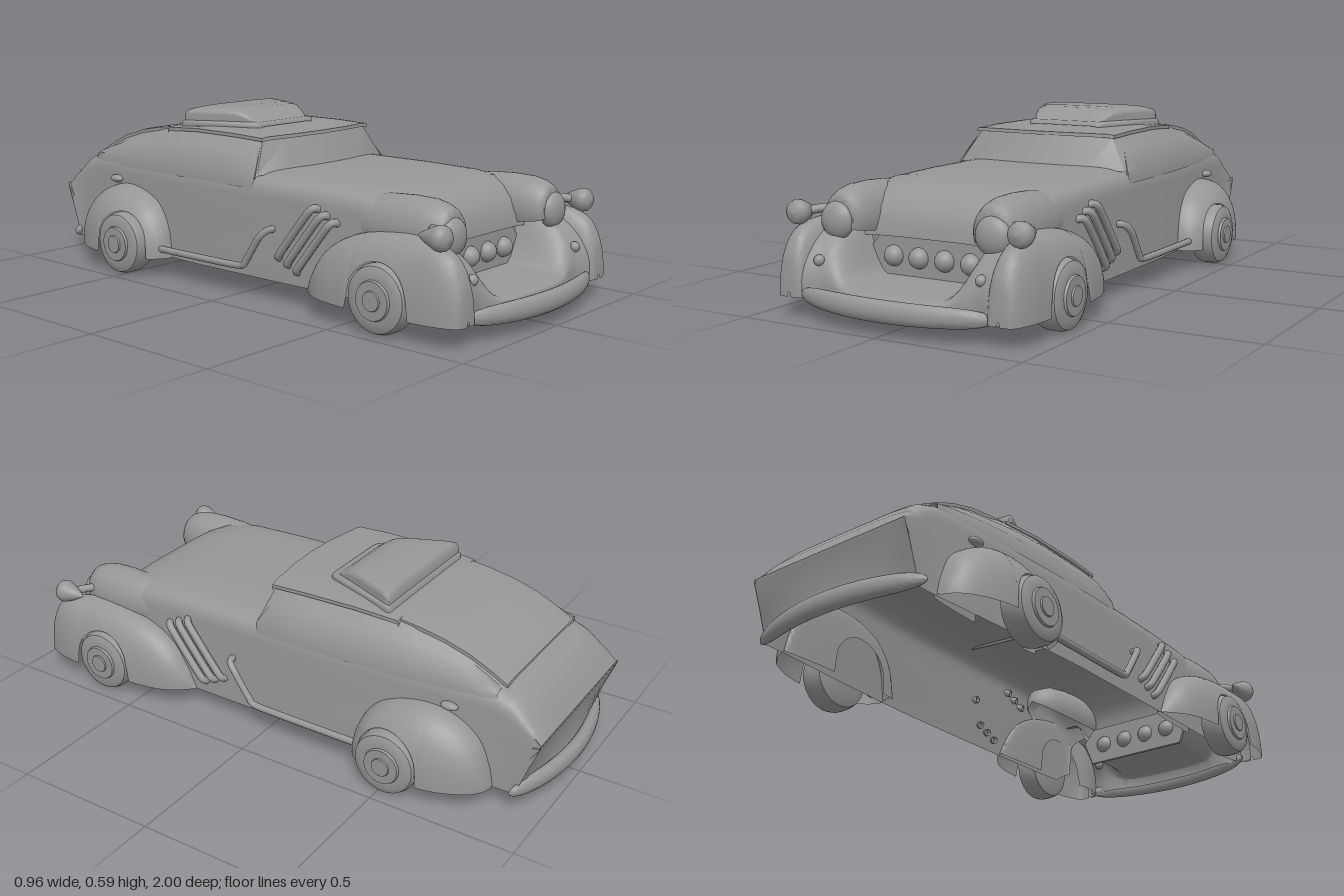
import * as THREE from 'three';
import { toCreasedNormals } from 'three/addons/utils/BufferGeometryUtils.js';

const mat = new THREE.MeshStandardMaterial({ color: 0x969696, side: THREE.DoubleSide });
const FLOOR = 0.065;
const V = (x, y, z) => new THREE.Vector3(x, y, z);
const smooth = THREE.MathUtils.smoothstep;

function mesh(name, geo) {
  const m = new THREE.Mesh(geo, mat);
  m.name = name;
  return m;
}

// Skin between rings of [x, y, z] points; rings run front to back, points from +x over the top to -x
function loft(rings, crease = 0.6) {
  const pos = [], idx = [], n = rings[0].length;
  rings.forEach((r) => r.forEach((p) => pos.push(...p)));
  for (let i = 0; i < rings.length - 1; i++)
    for (let j = 0; j < n - 1; j++) {
      const a = i * n + j, b = a + n;
      idx.push(a, b, a + 1, b, b + 1, a + 1);
    }
  const g = new THREE.BufferGeometry();
  g.setAttribute('position', new THREE.Float32BufferAttribute(pos, 3));
  g.setIndex(idx);
  return toCreasedNormals(g, crease);
}

// Complete a half profile (outside to centre) by mirroring it
const mirrored = (half) => [...half, ...half.slice(0, -1).reverse().map(([x, y, z]) => [-x, y, z])];

// Rounded box section: straight wall, then a superellipse crown
function crownSection(z, w, yb, yt, n, flare = 0) {
  const ym = yb + (yt - yb) * 0.55, half = [[w + flare, yb, z], [w + flare * 0.7, (yb + ym) / 2, z]];
  for (let i = 0; i <= 14; i++) {
    const a = (i / 14) * Math.PI / 2;
    half.push([w * Math.max(0, Math.cos(a)) ** (2 / n), ym + (yt - ym) * Math.sin(a) ** (2 / n), z]);
  }
  half[half.length - 1][0] = 0;
  return mirrored(half);
}

// Solid of revolution along z from [radius, z] pairs; arc is the sweep centred on the top
function latheZ(profile, arc = Math.PI * 2) {
  const pts = profile.map(([r, z]) => new THREE.Vector2(r, z));
  return new THREE.LatheGeometry(pts, 28, Math.PI - arc / 2, arc).rotateX(Math.PI / 2);
}

const tube = (pts, r, seg = 40) =>
  new THREE.TubeGeometry(new THREE.CatmullRomCurve3(pts, false, 'catmullrom', 0.3), seg, r, 10);

const ball = (r, x, y, z, sx = 1, sy = 1, sz = 1) =>
  new THREE.SphereGeometry(r, 24, 16).scale(sx, sy, sz).translate(x, y, z);

// Domed fender from [z, outer x, top y] stations, with a wheel arch cut from its lower edge
function fender(stations, ridgeX, wheelZ) {
  const curve = new THREE.CatmullRomCurve3(stations.map(([z, x, y]) => V(x, y, z)));
  const rings = [];
  for (let i = 0; i <= 90; i++) {
    const { x: X, y: Y, z } = curve.getPoint(i / 90);
    const nose = smooth(z, 0.7, 0.88), xc = ridgeX + 0.034 * nose;
    const d = 0.113 ** 2 - (z - wheelZ) ** 2;
    const yb = Math.min(Y - 0.003, d > 0 ? Math.max(FLOOR, 0.11 + Math.sqrt(d)) : FLOOR);
    const ring = [];
    for (let j = 0; j <= 32; j++) {
      const a = (j / 32) * Math.PI, y = yb + (Y - yb) * Math.sin(a);
      const f = Math.min(1, Math.max(0, (y - FLOOR) / (Y - FLOOR)));
      const k = (1 - f ** 2.4) ** (1 / 2.4) * Math.max(0.002, X - xc);
      ring.push([xc + (j <= 16 ? k : -(0.1 + 0.8 * nose) * k), y, z]);
    }
    rings.push(ring);
  }
  return loft(rings, 0.9);
}

// Bowed bumper bar, deepest in the middle, with rounded ends
function bumper(name, half, dir, y) {
  const rings = [];
  for (let i = -24; i <= 24; i++) {
    const u = i / 24, x = half * Math.sin(u * Math.PI / 2), q = (x / half) ** 2;
    const k = Math.sqrt(Math.max(0, 1 - q ** 4)) * (1 - 0.2 * q), ring = [];
    for (let j = 0; j <= 20; j++) {
      const a = (j / 20) * Math.PI * 2;
      ring.push([x, y + 0.035 * k * Math.sin(a), dir * (0.905 + 0.071 * (1 - q)) + 0.023 * k * Math.cos(a)]);
    }
    rings.push(ring);
  }
  return mesh(name, loft(rings, 1.2));
}

export function createModel() {
  const car = new THREE.Group();
  const add = (name, geo) => car.add(mesh(name, geo));
  const pair = (name, geo) => {
    for (const s of [1, -1]) {
      const m = mesh((s > 0 ? 'left' : 'right') + name, geo);
      m.scale.x = s;
      car.add(m);
    }
  };

  // Main hull, open underneath: z, half width, bottom, top, squareness
  const hull = [
    [0.725, 0.325, 0.1, 0.245, 4], [0.72, 0.33, 0.1, 0.285, 4], [0.7, 0.335, 0.09, 0.335, 4],
    [0.66, 0.342, FLOOR, 0.375, 4], [0.6, 0.347, FLOOR, 0.4, 5], [0.5, 0.349, FLOOR, 0.41, 5.5],
    [0.3, 0.35, FLOOR, 0.413, 6], [0.1, 0.35, FLOOR, 0.414, 6], [-0.2, 0.348, FLOOR, 0.414, 6],
    [-0.4, 0.338, FLOOR, 0.414, 6], [-0.6, 0.325, FLOOR, 0.413, 6], [-0.75, 0.314, FLOOR, 0.411, 6],
    [-0.82, 0.308, FLOOR, 0.403, 6], [-0.875, 0.306, FLOOR, 0.381, 6], [-0.91, 0.306, FLOOR, 0.351, 6],
    [-0.945, 0.306, 0.165, 0.312, 6], [-0.978, 0.306, 0.25, 0.262, 6],
  ];
  add('body', loft(hull.map(([z, w, yb, yt, n]) => crownSection(z, w, yb, yt, n, 0.01))));

  // Undercut tail panel, bowing out to the bumper at its foot
  const tailRows = [[0.262, -0.978, 0], [0.25, -0.976, 0], [0.165, -0.943, 0], [FLOOR, -0.908, 0.05]];
  add('tailPanel', loft(tailRows.map(([y, z, bow]) => Array.from({ length: 17 }, (_, j) => {
    const u = 1 - j / 8;
    return [0.316 * u, y, z - bow * (1 - u * u)];
  }))));

  // Cabin: z, base half width, roof half width, roof height
  const cabinRing = ([z, wb, wt, y], bow) => mirrored(
    [[wb, 0.36], [wb - 0.003, 0.385 + (y - 0.385) * 0.22], [(wb * 0.45 + wt * 0.55), 0.385 + (y - 0.385) * 0.65],
      [wt + 0.003, y - 0.018], [wt - 0.006, y - 0.006], [wt * 0.6, y - 0.001], [wt * 0.3, y + 0.001], [0, y + 0.002]]
      .map(([x, yy]) => [x, yy, z - bow * (x / 0.34) ** 2]));
  const cabin = [
    [0.095, 0.345, 0.335, 0.405], [0.045, 0.348, 0.272, 0.512], [-0.1, 0.347, 0.272, 0.522],
    [-0.3, 0.342, 0.268, 0.523], [-0.45, 0.333, 0.262, 0.515], [-0.52, 0.327, 0.252, 0.507],
    [-0.61, 0.32, 0.25, 0.491], [-0.7, 0.311, 0.25, 0.464], [-0.77, 0.305, 0.25, 0.432], [-0.82, 0.296, 0.25, 0.403],
  ];
  add('cabin', loft(cabin.map((c, i) => cabinRing(c, i < 2 ? 0.05 : 0)), 0.9));

  // Raised roof and boot panels with thin edges
  const panel = (rows) => loft(rows.map(([z, w, y, bow = 0]) => mirrored(
    [[w, y - 0.012], [w, y], [w * 0.9, y + 0.003], [w * 0.4, y + 0.004], [0, y + 0.004]]
      .map(([x, yy]) => [x, yy, z - bow * (x / 0.28) ** 2]))));
  add('roofPanel', panel([[0.052, 0.277, 0.506, 0.03], [0.05, 0.277, 0.518, 0.03], [-0.1, 0.277, 0.523],
    [-0.3, 0.272, 0.524], [-0.45, 0.264, 0.515], [-0.455, 0.264, 0.505]]));
  add('bootLid', panel([[-0.45, 0.25, 0.516], [-0.52, 0.25, 0.508], [-0.61, 0.25, 0.492],
    [-0.7, 0.25, 0.465], [-0.77, 0.25, 0.433], [-0.83, 0.25, 0.4], [-0.832, 0.25, 0.39]]));

  // Roof scoop on a tapered plate: z, half width, top
  const scoopPart = (rows, yb, n) =>
    loft(rows.map(([z, w, y]) => crownSection(z, w, yb, y, n)), 1.2);
  add('scoopBase', scoopPart([[-0.122, 0.13, 0.53], [-0.125, 0.14, 0.542], [-0.135, 0.148, 0.546],
    [-0.395, 0.244, 0.546], [-0.404, 0.243, 0.542], [-0.408, 0.24, 0.52]], 0.515, 8));
  add('scoop', scoopPart([[-0.14, 0.128, 0.54], [-0.16, 0.14, 0.556], [-0.185, 0.15, 0.575], [-0.21, 0.16, 0.588],
    [-0.25, 0.176, 0.592], [-0.37, 0.228, 0.592], [-0.39, 0.236, 0.587], [-0.4, 0.234, 0.575], [-0.401, 0.23, 0.536]],
  0.535, 4));

  // Fenders
  pair('FrontFender', fender([[0.932, 0.385, 0.08], [0.93, 0.412, 0.13], [0.92, 0.426, 0.2],
    [0.89, 0.44, 0.257], [0.84, 0.452, 0.287], [0.75, 0.459, 0.302], [0.65, 0.461, 0.301],
    [0.5, 0.455, 0.273], [0.4, 0.435, 0.22], [0.34, 0.4, 0.145], [0.3, 0.364, 0.07]], 0.345, 0.65));
  pair('RearFender', fender([[-0.35, 0.355, 0.075], [-0.375, 0.405, 0.18], [-0.43, 0.443, 0.25],
    [-0.52, 0.461, 0.29], [-0.62, 0.458, 0.3], [-0.7, 0.442, 0.28], [-0.78, 0.405, 0.22],
    [-0.82, 0.365, 0.135], [-0.835, 0.33, 0.07]], 0.308, -0.52));

  // Front apron: low in the middle, swelling up into the pods and fenders
  const apron = [];
  for (let i = 0; i <= 18; i++) {
    const t = Math.cos((i / 18) * Math.PI / 2), row = [];
    for (let j = 0; j <= 44; j++) {
      const x = 0.38 - 0.76 * j / 44, ax = Math.abs(x);
      const h = 0.12 + 0.17 * smooth(ax, 0.17, 0.28);
      const front = 0.215 + 0.025 * (1 - (x / 0.38) ** 2) - 0.02 * smooth(ax, 0.1, 0.25) + 0.03 * smooth(ax, 0.27, 0.36);
      row.push([x, 0.1 + (h - 0.1) * Math.sqrt(1 - t * t), 0.695 + front * t]);
    }
    if (i === 0) apron.push(row.map(([x, , z]) => [x, FLOOR, z]));
    apron.push(row);
  }
  add('frontApron', loft(apron, 0.9));

  // Recessed grille with four round lamps
  const grille = new THREE.Shape([[-0.2, 0.11], [0.2, 0.11], [0.235, 0.2], [0.19, 0.25], [-0.19, 0.25], [-0.235, 0.2]]
    .map(([x, y]) => new THREE.Vector2(x, y)));
  add('grillePanel', new THREE.ExtrudeGeometry(grille, { depth: 0.012, bevelEnabled: false }).translate(0, 0, 0.695));
  for (const x of [-0.143, -0.048, 0.048, 0.143]) add('grilleLamp', ball(0.034, x, 0.18, 0.706));

  // Headlight pods (upper shells), lenses, teardrop side lights and small lower lamps
  const pod = [[0, 0.4], [0.05, 0.42], [0.082, 0.49], [0.094, 0.57], [0.098, 0.66], [0.096, 0.73],
    [0.088, 0.77], [0.076, 0.797], [0.064, 0.81], [0.058, 0.81], [0, 0.808]];
  pair('HeadlightPod', toCreasedNormals(latheZ(pod, 4).scale(0.86, 1.06, 1).translate(0.276, 0.3, 0), 0.9));
  pair('HeadlightLens', ball(0.06, 0.285, 0.295, 0.805, 1, 1, 0.55));
  const drop = [[0, 0.765], [0.012, 0.783], [0.027, 0.812], [0.038, 0.838], [0.04, 0.85],
    [0.036, 0.865], [0.024, 0.876], [0, 0.881]];
  pair('SideLight', latheZ(drop).translate(0.405, 0.317, 0));
  pair('SideLightBracket', tube([V(0.335, 0.325, 0.77), V(0.36, 0.325, 0.79), V(0.395, 0.318, 0.825)], 0.014, 8));
  pair('LowerLamp', ball(0.018, 0.295, 0.18, 0.885));

  // Wheels with stepped hubs
  const wheel = new THREE.LatheGeometry([[0, 0.372], [0.08, 0.372], [0.104, 0.38], [0.11, 0.4], [0.11, 0.438],
    [0.103, 0.457], [0.085, 0.466], [0.063, 0.466], [0.06, 0.474], [0.032, 0.474], [0.03, 0.479], [0, 0.48]]
    .map((p) => new THREE.Vector2(...p)), 32).rotateZ(-Math.PI / 2);
  for (const [name, z] of [['FrontWheel', 0.65], ['RearWheel', -0.52]])
    pair(name, toCreasedNormals(wheel.clone().translate(0, 0.11, z), 0.6));

  // Slanted side pipes and the long exhaust
  for (let i = 0; i < 3; i++) {
    const z = 0.405 - 0.04 * i, y = 0.295 + 0.018 * i;
    pair('SidePipe', tube([V(0.335, y - 0.005, z + 0.012), V(0.36, y, z), V(0.37, y - 0.02, z - 0.02),
      V(0.372, y - 0.17, z - 0.14), V(0.345, y - 0.185, z - 0.152)], 0.013));
  }
  pair('Exhaust', tube([V(0.335, 0.236, 0.14), V(0.375, 0.236, 0.135), V(0.387, 0.205, 0.105), V(0.387, 0.125, 0.05),
    V(0.387, 0.102, 0.01), V(0.387, 0.1, -0.36), V(0.37, 0.1, -0.41)], 0.012, 60));

  // Filler caps on the rear flanks
  pair('FillerCap', ball(0.03, 0.325, 0.312, -0.675, 0.6, 0.45, 1));

  car.add(bumper('frontBumper', 0.352, 1, 0.076), bumper('rearBumper', 0.345, -1, 0.083));
  return car;
}
